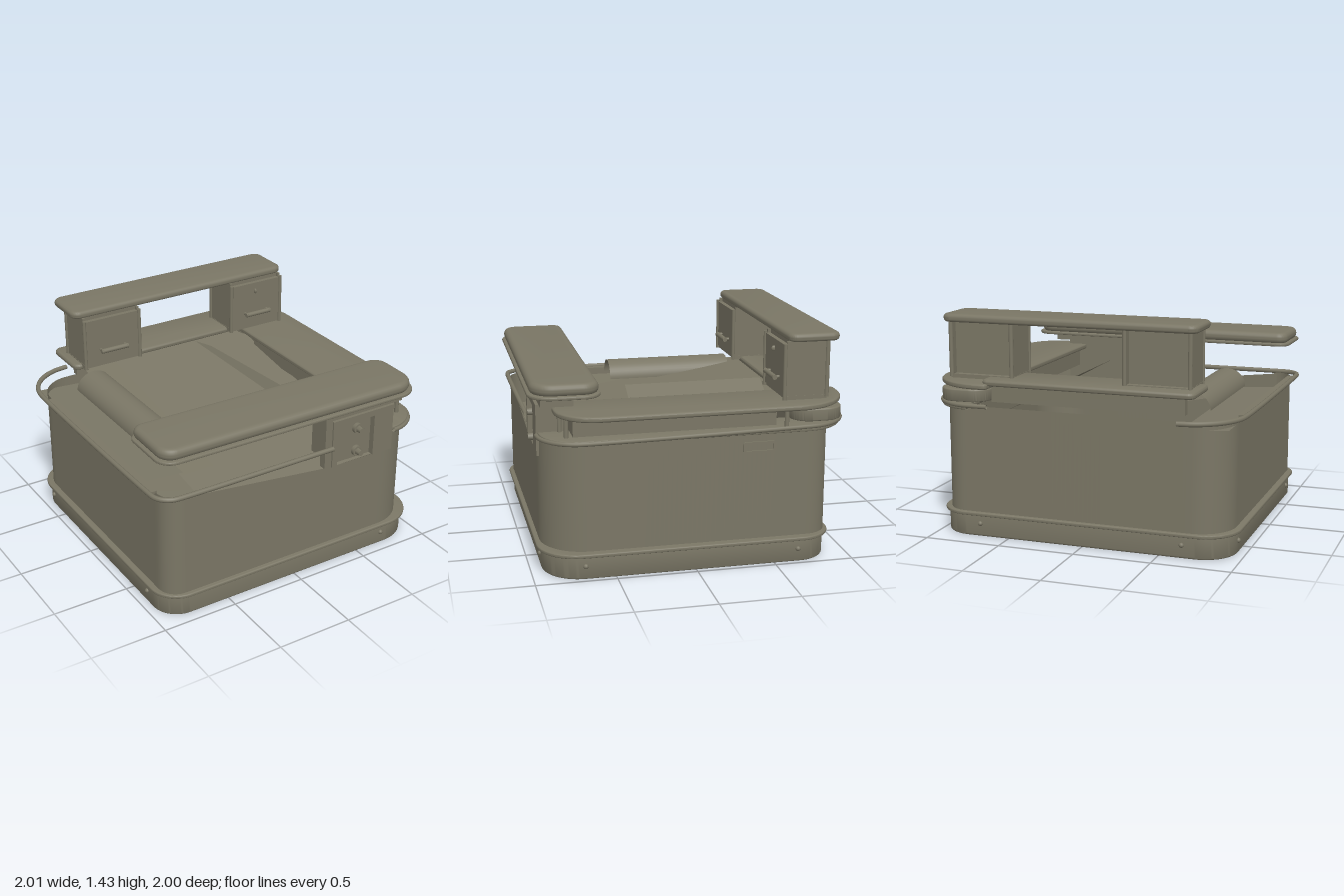
import * as THREE from 'three';
import { toCreasedNormals } from 'three/addons/utils/BufferGeometryUtils.js';

const paint = new THREE.MeshStandardMaterial({ color: 0x7a7665, side: THREE.DoubleSide });
paint.name = 'olive grey paint';

export function createModel() {
  const root = new THREE.Group();
  const add = (name, geo, x = 0, y = 0, z = 0, parent = root) => {
    const m = new THREE.Mesh(geo, paint);
    m.name = name;
    m.position.set(x, y, z);
    parent.add(m);
    return m;
  };
  // box given by its limits
  const box = (name, x0, x1, y0, y1, z0, z1, parent = root) =>
    add(name, new THREE.BoxGeometry(x1 - x0, y1 - y0, z1 - z0), (x0 + x1) / 2, (y0 + y1) / 2, (z0 + z1) / 2, parent);
  // outline seen from above; radii: front right, front left, rear left, rear right
  const outline = (x0, x1, z0, z1, r) => {
    const [a, b, c, d] = Array.isArray(r) ? r : [r, r, r, r];
    const s = new THREE.Shape(), q = Math.PI / 2;
    s.moveTo(x0 + a, -z1);
    s.lineTo(x1 - b, -z1);
    if (b) s.absarc(x1 - b, -z1 + b, b, -q, 0);
    s.lineTo(x1, -z0 - c);
    if (c) s.absarc(x1 - c, -z0 - c, c, 0, q);
    s.lineTo(x0 + d, -z0);
    if (d) s.absarc(x0 + d, -z0 - d, d, q, 2 * q);
    s.lineTo(x0, -z1 + a);
    if (a) s.absarc(x0 + a, -z1 + a, a, 2 * q, 3 * q);
    return s;
  };
  // horizontal slab with rounded corners and a rounded edge
  const slab = (name, x0, x1, y0, y1, z0, z1, r, e) => {
    const inner = (Array.isArray(r) ? r : [r, r, r, r]).map((v) => Math.max(v - e, 0));
    const g = new THREE.ExtrudeGeometry(outline(x0 + e, x1 - e, z0 + e, z1 - e, inner), {
      depth: y1 - y0 - 2 * e, bevelSize: e, bevelThickness: e, bevelSegments: 4, curveSegments: 12,
    });
    g.rotateX(-Math.PI / 2);
    return add(name, toCreasedNormals(g, 0.7), 0, y0 + e, 0);
  };
  const rod = (name, x, y0, y1, z, r = 0.012, parent = root) =>
    add(name, new THREE.CylinderGeometry(r, r, y1 - y0, 12), x, (y0 + y1) / 2, z, parent);
  const tube = (name, pts, r) =>
    add(name, new THREE.TubeGeometry(new THREE.CatmullRomCurve3(pts, false, 'centripetal'), 160, r, 8));
  // flat panel spanning x0..x1, with heights at its four corners
  const panel = (name, x0, x1, zf, zb, [fr, fl, bl, br]) => {
    const g = new THREE.BufferGeometry();
    g.setAttribute('position', new THREE.Float32BufferAttribute(
      [x0, fr, zf, x1, fl, zf, x1, bl, zb, x0, br, zb], 3));
    g.setIndex([0, 1, 2, 0, 2, 3]);
    g.computeVertexNormals();
    return add(name, g);
  };

  // base tray and its lip
  slab('base', -0.95, 0.975, 0, 0.15, -0.86, 0.93, [0.17, 0.24, 0.19, 0.22], 0.015);
  slab('baseLip', -0.975, 0.995, 0.14, 0.165, -0.89, 0.96, [0.19, 0.26, 0.21, 0.24], 0.011);

  // body wall with the sloping cut along the front
  const loop = outline(-0.935, 0.94, -0.865, 0.93, [0.12, 0.28, 0.15, 0.23]).getSpacedPoints(240);
  const pos = [], idx = [];
  const topY = (x, z) => {
    if (z < 0.85 || x < -0.8) return 0.85;
    if (x < 0.25) return 0.84 - 0.12 * (x + 0.8) / 1.05;
    return x < 0.72 ? 0.72 : 0.85;
  };
  loop.forEach((p, i) => {
    const z = -p.y;
    pos.push(p.x, 0.15, z, p.x, topY(p.x, z), z);
    if (i < loop.length - 1) {
      const a = 2 * i;
      idx.push(a, a + 2, a + 3, a, a + 3, a + 1);
    }
  });
  const wall = new THREE.BufferGeometry();
  wall.setAttribute('position', new THREE.Float32BufferAttribute(pos, 3));
  wall.setIndex(idx);
  wall.computeVertexNormals();
  add('bodyWall', wall);

  // rim rails: one round the right side and front, one round the left side
  const arc = (cx, cz, r, from, y) => Array.from({ length: 7 }, (_, i) => {
    const t = from + (i / 6) * Math.PI / 2;
    return new THREE.Vector3(cx + r * Math.cos(t), y, cz - r * Math.sin(t));
  });
  tube('rightRimRail', [
    ...arc(-0.65, -0.65, 0.335, Math.PI / 2, 0.862),
    ...arc(-0.86, 0.825, 0.12, Math.PI, 0.858),
    new THREE.Vector3(0.25, 0.858, 0.945),
  ], 0.016);
  tube('leftRimRail', [
    ...arc(0.73, 0.69, 0.25, 1.5 * Math.PI, 0.852),
    ...arc(0.69, -0.69, 0.29, 0, 0.876),
    new THREE.Vector3(0.57, 0.876, -0.98),
  ], 0.014);
  // flat ledges joining the rails to the wall
  box('rightRimLedge', -0.985, -0.925, 0.842, 0.858, -0.6, 0.8);
  slab('leftRimLedge', 0.72, 0.985, 0.845, 0.87, -0.97, 0.93, [0, 0.25, 0.28, 0], 0.01);

  // left armrest on its curb and posts
  slab('armrest', 0.57, 1.0, 0.98, 1.015, -0.99, 0.84, [0.03, 0.25, 0.35, 0.03], 0.016);
  box('armrestCurb', 0.62, 0.88, 0.86, 0.985, -0.52, 0.74);
  slab('armrestDrum', 0.6, 0.93, 0.89, 0.97, -0.95, -0.62, 0.12, 0.01);
  for (const [x, z] of [[0.88, 0.78], [0.74, 0.8], [0.93, -0.57]]) rod('armrestPost', x, 0.86, 0.99, z, 0.014);

  // rear shelf and the beam under it
  slab('rearShelf', -0.75, 0.62, 1.0, 1.04, -0.96, -0.62, 0.05, 0.018);
  box('rearShelfBeam', -0.66, 0.6, 0.88, 1.0, -0.84, -0.79);

  // rear slab on two block supports with rods and handles
  slab('rearSlab', -0.755, 0.9, 1.38, 1.432, -0.92, -0.59, 0.06, 0.024);
  for (const x of [-0.485, 0.665]) {
    const g = new THREE.Group();
    g.name = 'rearSupport';
    g.position.x = x;
    root.add(g);
    box('supportCore', -0.2, 0.2, 1.03, 1.385, -0.8, -0.6, g);
    box('supportFrontPlate', -0.205, 0.205, 1.04, 1.36, -0.6, -0.57, g);
    box('supportFoot', -0.21, 0.21, 1.02, 1.045, -0.84, -0.58, g);
    for (const s of [-1, 1]) {
      box('supportSidePlate', s * 0.2 - 0.008, s * 0.2 + 0.008, 1.03, 1.385, -0.84, -0.58, g);
      rod('supportRod', s * 0.205, 1.03, 1.385, -0.84, 0.014, g);
      rod('supportRod', s * 0.205, 1.02, 1.37, -0.57, 0.012, g);
      const stub = rod('handleStub', s * 0.09, 1.12, 1.165, -0.55, 0.01, g);
      stub.rotation.x = Math.PI / 2;
    }
    const grip = rod('handleGrip', 0, 1.04, 1.24, -0.54, 0.016, g);
    grip.rotation.z = Math.PI / 2;
  }
  add('latchKnob', new THREE.SphereGeometry(0.018, 12, 8), 0.655, 1.3, -0.565).scale.x = 0.5;

  // front slab and its lip, turned very slightly
  for (const part of [
    slab('frontSlab', -0.95, 0.885, 1.115, 1.19, 0.555, 0.97, [0.1, 0.14, 0.1, 0.07], 0.034),
    slab('frontSlabLip', -0.965, 0.905, 1.1, 1.122, 0.545, 0.985, [0.11, 0.15, 0.11, 0.08], 0.01),
  ]) part.rotation.y = -0.013;

  // front bracket: framed recess with two bolts
  box('bracketBack', 0.25, 0.72, 0.72, 1.04, 0.87, 0.9);
  box('bracketPost', 0.25, 0.7, 0.74, 1.11, 0.72, 0.88);
  box('bracketRightFlange', 0.2, 0.25, 0.72, 1.1, 0.88, 0.93);
  box('bracketFrame', 0.25, 0.29, 0.72, 1.04, 0.89, 0.94);
  box('bracketFrame', 0.57, 0.72, 0.72, 1.04, 0.89, 0.94);
  box('bracketFrame', 0.29, 0.57, 1.0, 1.04, 0.89, 0.94);
  box('bracketTop', 0.2, 0.8, 1.04, 1.105, 0.72, 0.92);
  for (const y of [0.77, 0.93]) {
    const washer = add('bracketWasher', new THREE.CylinderGeometry(0.034, 0.034, 0.03, 16), 0.46, y, 0.91);
    washer.rotation.x = Math.PI / 2;
    const bolt = add('bracketBolt', new THREE.CylinderGeometry(0.02, 0.024, 0.04, 6), 0.46, y, 0.94);
    bolt.rotation.x = Math.PI / 2;
  }

  // interior: sloping floor, side strip and ledge, steep side tray, half-round trough
  panel('innerFloor', -0.63, 0.64, 0.9, -0.82, [0.7, 0.7, 0.96, 0.96]);
  panel('innerStrip', -0.63, -0.41, 0.6, -0.82, [0.77, 0.77, 0.98, 0.98]);
  panel('innerLedge', -0.93, -0.63, 0.6, -0.84, [0.81, 0.79, 0.79, 0.81]);
  panel('sideTray', 0.19, 0.62, 0.29, -0.62, [1.0, 0.77, 0.77, 1.0]);
  const trough = add('trough', new THREE.CylinderGeometry(0.125, 0.125, 0.86, 20, 1, true, Math.PI / 2, Math.PI), -0.625, 0.87, -0.17);
  trough.rotation.x = Math.PI / 2;
  trough.scale.z = 0.9;

  // side grip slot
  const slot = outline(-0.105, 0.105, -0.035, 0.035, 0.02);
  slot.holes.push(outline(-0.09, 0.09, -0.022, 0.022, 0.012));
  const slotMesh = add('gripSlot', new THREE.ExtrudeGeometry(slot, { depth: 0.012, bevelEnabled: false }), 0.938, 0.755, -0.395);
  slotMesh.rotation.y = Math.PI / 2;

  // base rivets
  const rivet = new THREE.SphereGeometry(0.016, 12, 8);
  for (const s of [-0.65, 0.69]) {
    for (const x of [-0.95, 0.975]) add('baseRivet', rivet, x, 0.085, s);
    add('baseRivet', rivet, s, 0.085, -0.86);
  }
  add('baseRivet', rivet, 0.69, 0.085, 0.93);
  return root;
}
